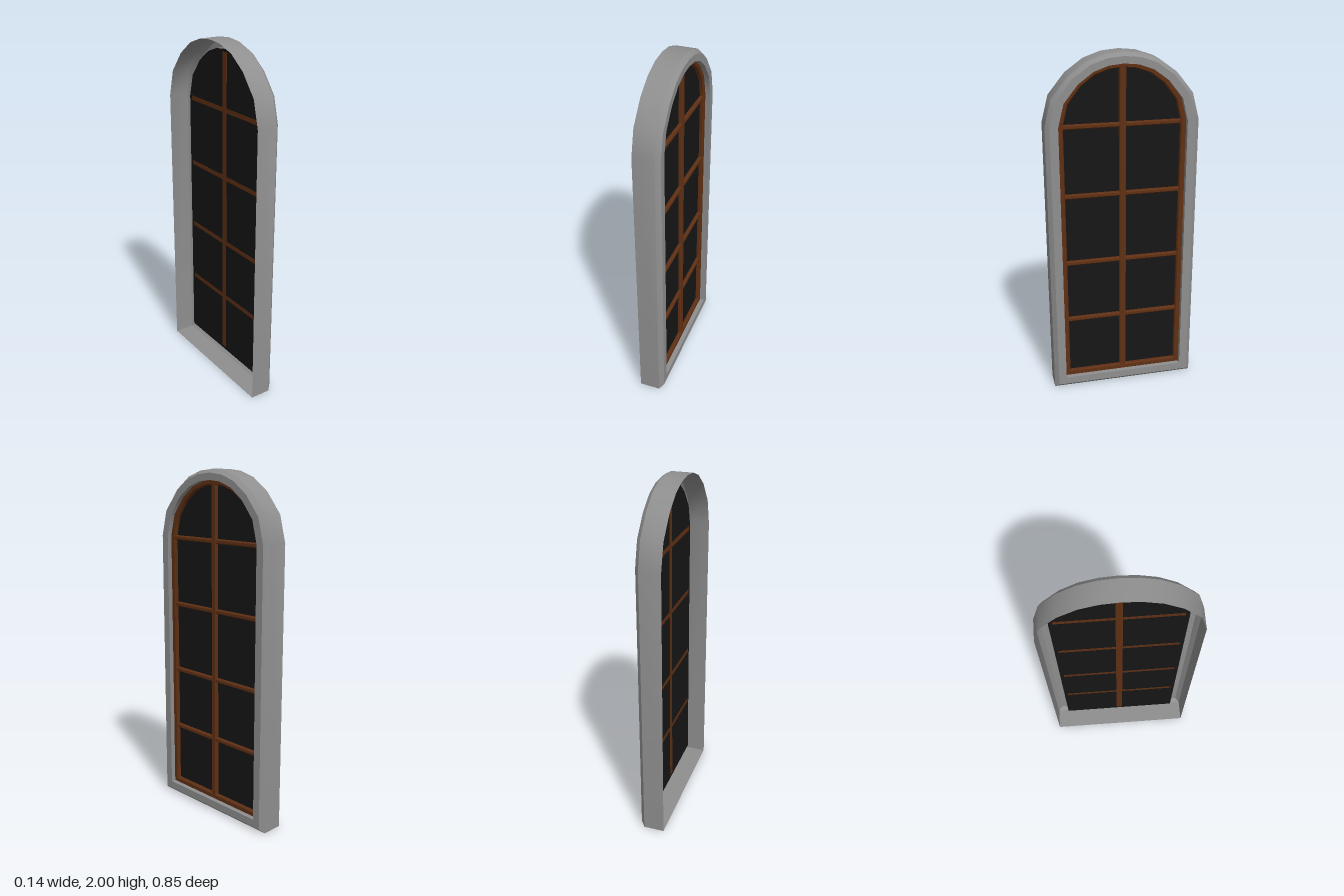
import * as THREE from 'three';
import { toCreasedNormals } from 'three/addons/utils/BufferGeometryUtils.js';

const mat = (color) => new THREE.MeshStandardMaterial({ color, side: THREE.DoubleSide });

// Quarter of the arch as unit [across, up] pairs, from the spring line to the crown
const QUARTER = [[1, 0], [0.91, 0.39], [0.69, 0.695], [0.455, 0.885], [0.225, 0.975], [0, 1]];
const ARCH = [
  ...QUARTER.map(([u, v]) => [-u, v]),
  ...QUARTER.slice(0, -1).reverse(),
];

// Arched outline as [y, z] pairs, shrunk by an inset; counter-clockwise seen from +x
function outline(inset) {
  const a = 0.427 - inset, b = 0.38 - 0.83 * inset, spring = 1.62;
  const sill = inset * 0.95;
  return [[sill, a], [sill, -a], ...ARCH.map(([u, v]) => [spring + b * v, a * u])];
}

// Sweep a profile of [inset, x] pairs around the arched outline
function sweep(profile) {
  const pos = [], index = [];
  const n = outline(0).length;
  for (const [inset, x] of profile) {
    for (const [y, z] of outline(inset)) pos.push(x, y, z);
  }
  for (let j = 0; j < profile.length - 1; j++) {
    for (let k = 0; k < n; k++) {
      const a = j * n + k, b = j * n + (k + 1) % n;
      index.push(a, b, b + n, a, b + n, a + n);
    }
  }
  const g = new THREE.BufferGeometry();
  g.setAttribute('position', new THREE.Float32BufferAttribute(pos, 3));
  g.setIndex(index);
  return toCreasedNormals(g, 0.55);
}

// Glazing bar along z, with bevelled front edges
function barGeometry(length, width, back, front) {
  const w = width / 2, bevel = 0.006;
  const s = new THREE.Shape([
    new THREE.Vector2(back, -w), new THREE.Vector2(front - bevel, -w),
    new THREE.Vector2(front, -w + bevel), new THREE.Vector2(front, w - bevel),
    new THREE.Vector2(front - bevel, w), new THREE.Vector2(back, w),
  ]);
  const g = new THREE.ExtrudeGeometry(s, { depth: length, bevelEnabled: false });
  return g.translate(0, 0, -length / 2);
}

export function createModel() {
  const group = new THREE.Group();
  const stone = mat(0x8f8f8f), wood = mat(0x603014), dark = mat(0x161616);
  const add = (name, geometry, material) => {
    const mesh = new THREE.Mesh(geometry, material);
    mesh.name = name;
    group.add(mesh);
    return mesh;
  };

  // Outer surround: open at the back, chamfered at the front
  add('surround', sweep([[0, -0.072], [0, 0.048], [0.024, 0.072], [0.07, 0.072], [0.07, 0.022]]), stone);

  // Wooden sash
  add('sash', sweep([[0.07, 0.044], [0.094, 0.044], [0.1, 0.038], [0.1, 0.022]]), wood);

  // Glass pane
  const pane = new THREE.Shape(outline(0.07).map(([y, z]) => new THREE.Vector2(-z, y)));
  add('glass', new THREE.ShapeGeometry(pane).rotateY(Math.PI / 2).translate(0.022, 0, 0), dark);

  // Upright glazing bar
  const upright = add('uprightBar', barGeometry(1.84, 0.038, 0.021, 0.042), wood);
  upright.rotation.x = Math.PI / 2;
  upright.position.y = 1.005;

  // Cross glazing bars
  for (const y of [0.445, 0.81, 1.215, 1.61]) {
    add('crossBar', barGeometry(0.67, 0.026, 0.021, 0.04), wood).position.y = y;
  }
  return group;
}
